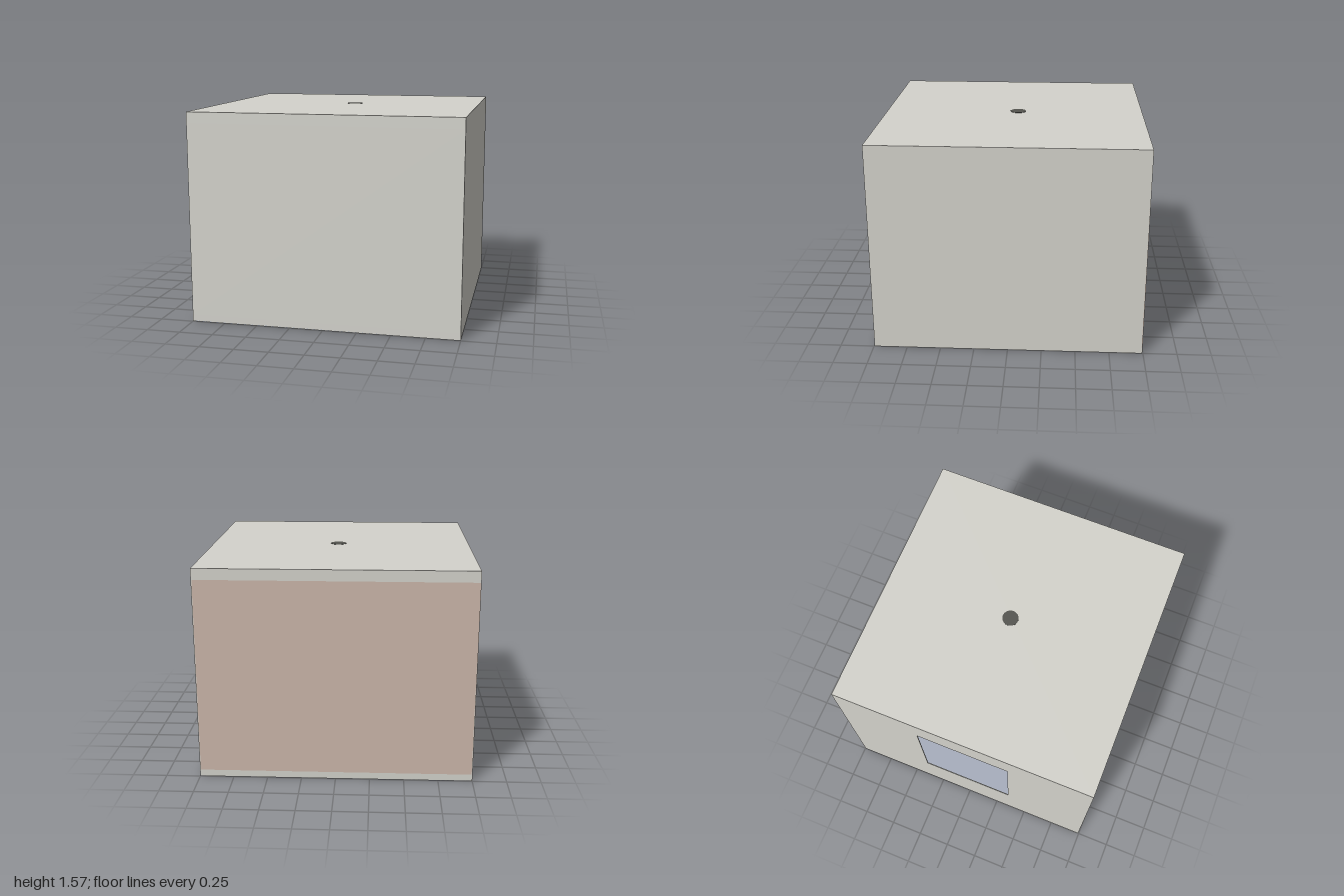
import * as THREE from 'three';

const W = 2, D = 1.99, H = 1.565;       // outer size
const T = 0.006, TRIM = 0.01;           // plate thicknesses
const SKIRT = 0.05, CORNICE = 0.08;     // trim heights

const material = (name, color) => {
  const m = new THREE.MeshStandardMaterial({ color });
  m.name = name;
  return m;
};

export function createModel() {
  const plaster = material('plaster', 0xd4d3cc);
  const accent = material('accentWall', 0xccb7aa);
  const flooring = material('floor', 0xa4abbb);
  const dark = material('darkFitting', 0x53534e);

  const room = new THREE.Group();
  room.name = 'room';

  const add = (name, geometry, mat, x, y, z, parent = room) => {
    const mesh = new THREE.Mesh(geometry, mat);
    mesh.name = name;
    mesh.position.set(x, y, z);
    parent.add(mesh);
    return mesh;
  };

  // Wall plate between skirting and cornice, with an optional window [u0, y0, u1, y1]
  const wallGeometry = (length, window) => {
    const h = length / 2, bottom = SKIRT, top = H - CORNICE;
    const shape = new THREE.Shape([
      new THREE.Vector2(-h, bottom), new THREE.Vector2(h, bottom),
      new THREE.Vector2(h, top), new THREE.Vector2(-h, top),
    ]);
    if (window) {
      const [u0, y0, u1, y1] = window;
      shape.holes.push(new THREE.Path([
        new THREE.Vector2(u0, y0), new THREE.Vector2(u0, y1),
        new THREE.Vector2(u1, y1), new THREE.Vector2(u1, y0),
      ]));
    }
    return new THREE.ExtrudeGeometry(shape, { depth: T, bevelEnabled: false });
  };

  // Four sides: each built facing +z with its outer face flush, then turned
  const sides = [
    { name: 'front', angle: 0, length: W, out: D / 2, mat: plaster },
    { name: 'left', angle: Math.PI / 2, length: D, out: W / 2, mat: plaster },
    { name: 'back', angle: Math.PI, length: W, out: D / 2, mat: accent },
    { name: 'right', angle: -Math.PI / 2, length: D, out: W / 2, mat: plaster,
      window: [-0.355, 0.46, 0.355, 1.315] },
  ];
  for (const { name, angle, length, out, mat, window } of sides) {
    const side = new THREE.Group();
    side.name = name + 'Side';
    side.rotation.y = angle;
    room.add(side);
    add(name + 'Wall', wallGeometry(length, window), mat, 0, 0, out - T, side);
    add(name + 'Skirting', new THREE.BoxGeometry(length, SKIRT, TRIM), plaster,
      0, SKIRT / 2, out - TRIM / 2, side);
    add(name + 'Cornice', new THREE.BoxGeometry(length, CORNICE, TRIM), plaster,
      0, H - CORNICE / 2, out - TRIM / 2, side);
  }

  // Floor and ceiling; the floor shows from below, the ceiling from above
  add('floor', new THREE.BoxGeometry(W, T, D), flooring, 0, T / 2 - 0.001, 0);
  add('ceiling', new THREE.BoxGeometry(W, T, D), plaster, 0, H - T / 2 + 0.001, 0);

  // Round ceiling fitting passing through the slab
  add('ceilingFitting', new THREE.CylinderGeometry(0.06, 0.06, 0.03, 32), dark,
    0.02, H + 0.003 - 0.015, -0.03);

  return room;
}
